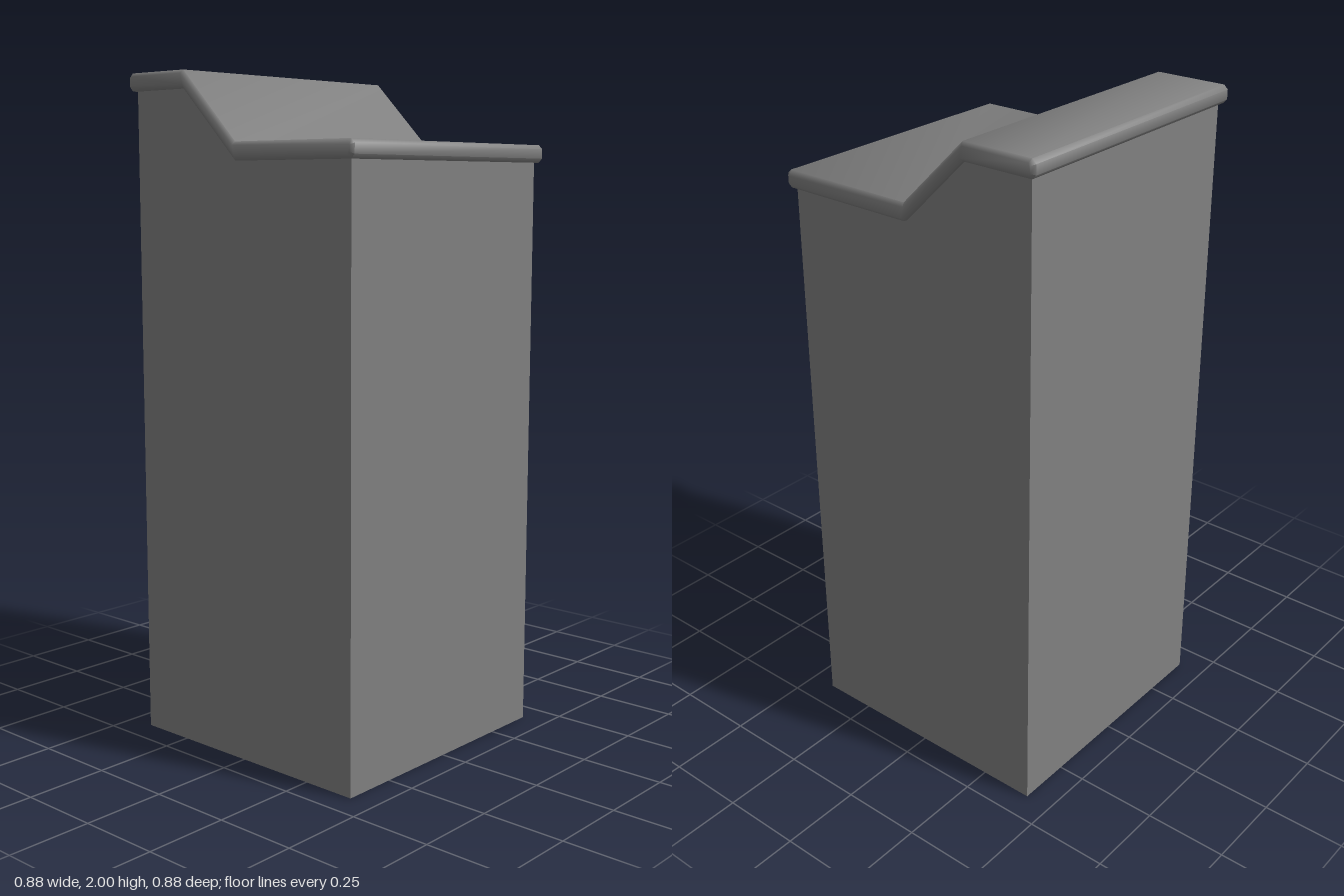
import * as THREE from 'three';
import { toCreasedNormals } from 'three/addons/utils/BufferGeometryUtils.js';

const grey = new THREE.MeshStandardMaterial({ color: 0x808080 });
grey.name = 'grey';

// Extrudes a side profile of [z, y] points across the width, centred on x = 0
function acrossWidth(name, points, halfWidth, bevel) {
  const shape = new THREE.Shape(points.map(([z, y]) => new THREE.Vector2(-z, y)));
  let geometry = new THREE.ExtrudeGeometry(shape, {
    depth: 2 * (halfWidth - bevel),
    bevelEnabled: bevel > 0,
    bevelSize: bevel,
    bevelThickness: bevel,
    bevelOffset: -bevel,
    bevelSegments: 1,
  });
  geometry.translate(0, 0, -(halfWidth - bevel));
  geometry.rotateY(Math.PI / 2);
  if (bevel > 0) geometry = toCreasedNormals(geometry, 0.87);
  const mesh = new THREE.Mesh(geometry, grey);
  mesh.name = name;
  return mesh;
}

export function createModel() {
  const group = new THREE.Group();
  group.name = 'cabinet';

  // Tall body with a stepped, sloping top edge
  const b = 0.417;
  group.add(acrossWidth('body', [
    [b, 0], [b, 1.77], [0, 1.77], [-0.207, 1.975], [-b, 1.975], [-b, 0],
  ], b, 0));

  // Overhanging top slab that follows the slope, with chamfered edges
  const t = 0.438, c = 0.012, thick = 0.052, low = 1.795, high = 2;
  group.add(acrossWidth('topSlab', [
    [t - c, low], [0, low], [-0.207, high], [-t + c, high],
    [-t, high - c], [-t, high - thick + c], [-t + c, high - thick],
    [-0.207, high - thick], [0, low - thick], [t - c, low - thick],
    [t, low - thick + c], [t, low - c],
  ], t, 0.01));

  return group;
}
